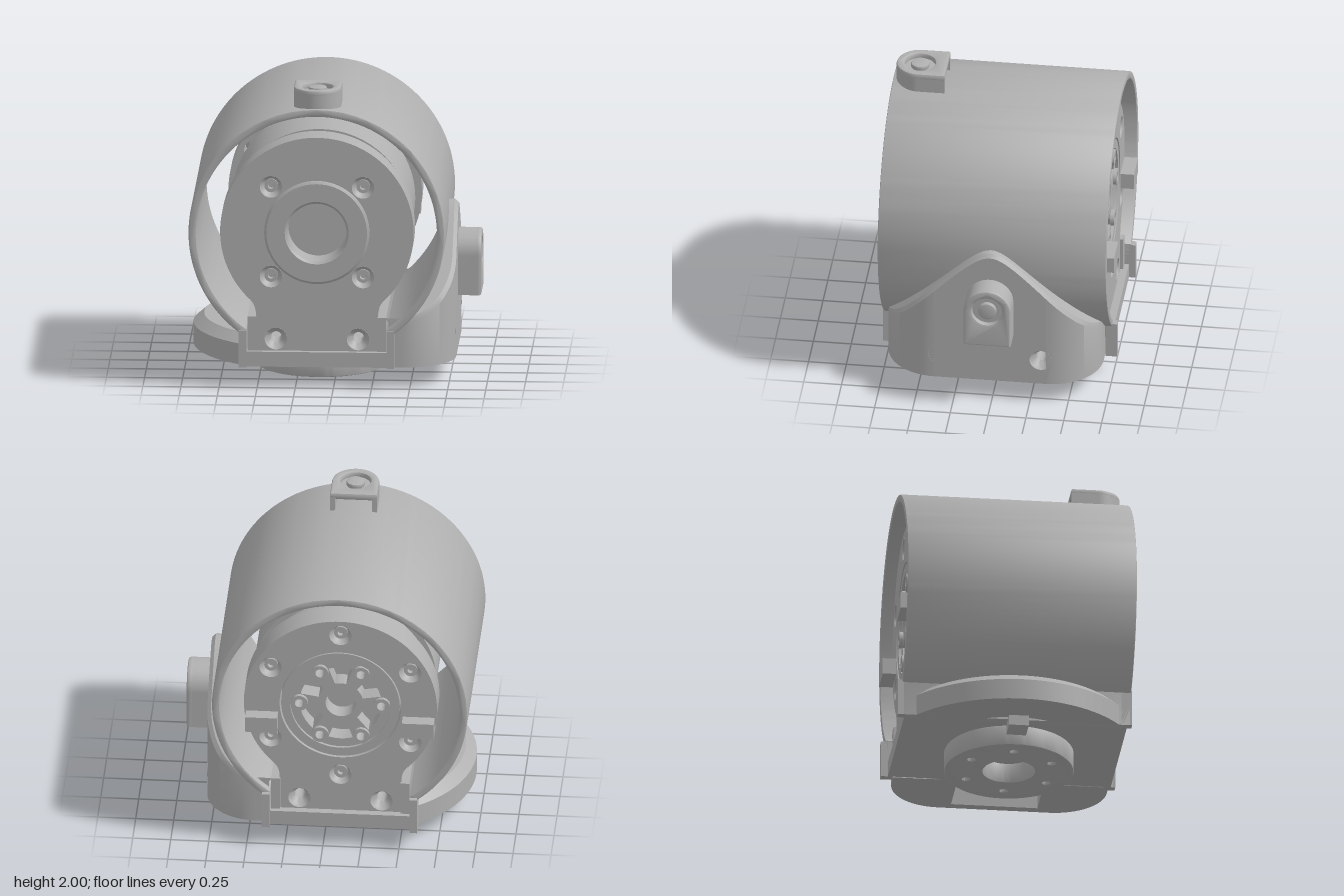
import * as THREE from 'three';
import { toCreasedNormals } from 'three/addons/utils/BufferGeometryUtils.js';

const CX = -0.11, CY = 1.04, CZ = 0.015;
const grey = new THREE.MeshStandardMaterial({ color: 0xb0b0b0, side: THREE.DoubleSide });
grey.name = 'plain grey';

function add(parent, name, geo, x = 0, y = 0, z = 0) {
  const m = new THREE.Mesh(geo, grey);
  m.name = name;
  m.position.set(x, y, z);
  parent.add(m);
  return m;
}
const box = (p, name, x0, x1, y0, y1, z0, z1) =>
  add(p, name, new THREE.BoxGeometry(x1 - x0, y1 - y0, z1 - z0), (x0 + x1) / 2, (y0 + y1) / 2, (z0 + z1) / 2);

// Extrusion along z with an optional small chamfer, sharp edges kept
function extrude(shape, depth, bevel = 0) {
  const geo = new THREE.ExtrudeGeometry(shape, {
    depth: depth - 2 * bevel, curveSegments: 48, bevelEnabled: bevel > 0,
    bevelSize: bevel, bevelThickness: bevel, bevelOffset: -bevel, bevelSegments: 2,
  });
  geo.translate(0, 0, bevel);
  return toCreasedNormals(geo, 0.5);
}
const disc = (x, y, r) => new THREE.Path().absarc(x, y, r, 0, Math.PI * 2, false);
const circle = (r) => new THREE.Shape().absarc(0, 0, r, 0, Math.PI * 2, false);
const ring = (x, y, r, n, start = 0) => Array.from({ length: n }, (_, i) => {
  const a = start + (i * Math.PI * 2) / n;
  return [x + r * Math.cos(a), y + r * Math.sin(a)];
});
const lathe = (pts, n = 48, start = 0, len = Math.PI * 2) =>
  toCreasedNormals(new THREE.LatheGeometry(pts.map((p) => new THREE.Vector2(...p)), n, start, len), 0.5);

// Disc with a neck running down to the floor
function neckPlate() {
  const a = Math.atan2(0.448, 0.45), s = new THREE.Shape();
  s.moveTo(CX - 0.4, 0.14).lineTo(CX + 0.4, 0.14).lineTo(CX + 0.4, 0.48);
  s.quadraticCurveTo(CX + 0.4, 0.55, CX + 0.45, CY - 0.448);
  s.absarc(CX, CY, 0.635, -a, Math.PI + a, false);
  s.quadraticCurveTo(CX - 0.4, 0.55, CX - 0.4, 0.48);
  return s;
}

// Countersunk screw seat, facing +y before rotation
const seat = (through) => lathe(through
  ? [[0.073, 0], [0.07, -0.02], [0.036, -0.06], [0.036, -0.2]]
  : [[0.073, 0], [0.07, -0.02], [0.045, -0.05], [0.045, -0.035], [0.022, -0.035], [0.018, -0.06], [0, -0.06]], 24);

// Hollow clip: U-shaped wall, open at the straight end, with a round button
function clip(name, length, height) {
  const g = new THREE.Group(), r = 0.155, c = length - r, t = 0.035;
  g.name = name;
  const wall = new THREE.Shape();
  wall.moveTo(r, 0).lineTo(r, c).absarc(0, c, r, 0, Math.PI, false);
  wall.lineTo(-r, 0).lineTo(t - r, 0).lineTo(t - r, c);
  wall.absarc(0, c, r - t, Math.PI, 0, true).lineTo(r - t, 0);
  add(g, 'clipWall', extrude(wall, height - 0.03));
  const cap = new THREE.Shape();
  cap.moveTo(-r, 0).lineTo(r, 0).lineTo(r, c).absarc(0, c, r, 0, Math.PI, false);
  cap.holes.push(disc(0, c, 0.1));
  add(g, 'clipCap', extrude(cap, 0.05, 0.015), 0, 0, height - 0.05);
  add(g, 'clipRecess', extrude(circle(0.11), 0.01), 0, c, height - 0.045);
  add(g, 'clipButton', extrude(circle(0.06), 0.035, 0.008), 0, c, height - 0.038);
  return g;
}

// Height of the bracket's arched edge at distance d from its middle
const archTop = (d) => 1.24 - Math.hypot(1.07 * d, 0.13);

function bracket() {
  const g = new THREE.Group(), FLAT = 0.37, R = 0.34, X = 0.79, E = 0.025;
  g.name = 'sideBracket';
  // Footprint outline from back to front: end, corner, flat, corner, end
  const half = [[0.36, FLAT + R]];
  for (let i = 0; i <= 16; i++) {
    const a = (1 - i / 16) * Math.PI / 2;
    half.push([X - R + R * Math.cos(a), FLAT + R * Math.sin(a)]);
  }
  const flat = Array.from({ length: 31 }, (_, i) => [X, FLAT * (i / 15 - 1)]);
  const path = [...half.map(([x, d]) => [x, -d]), ...flat.slice(1, -1), ...half.reverse()];
  // Wall, rounded edge and top surface running in to the shell
  const pos = [], index = [], n = 4;
  path.forEach(([x, d], i) => {
    const top = archTop(Math.abs(d)), z = CZ + d;
    const inner = Math.min(x - E, CX + Math.sqrt(0.7056 - (top - CY) ** 2) - 0.02);
    pos.push(x, 0.14, z, x, top - E, z, x - E, top, z, inner, top, z);
    if (i === 0) return;
    for (let j = 0; j < n - 1; j++) {
      if (j === 0 && Math.abs(x - X) < 1e-6 && Math.abs(path[i - 1][0] - X) < 1e-6) continue;
      const a = (i - 1) * n + j, b = i * n + j;
      index.push(a, a + 1, b, b, a + 1, b + 1);
    }
  });
  const geo = new THREE.BufferGeometry();
  geo.setAttribute('position', new THREE.Float32BufferAttribute(pos, 3));
  geo.setIndex(index);
  add(g, 'bracketWall', toCreasedNormals(geo, 0.5));
  // Flat outer face with two screw holes
  const face = new THREE.Shape();
  face.moveTo(FLAT, 0.14);
  flat.slice().reverse().forEach(([, d]) => face.lineTo(d, archTop(Math.abs(d)) - E));
  face.lineTo(-FLAT, 0.14);
  for (const d of [-0.335, 0.335]) {
    const s = Math.sign(d);
    face.holes.push(disc(-d, 0.32, 0.073 * (s * s)));
    add(g, 'bracketScrewSeat', seat(true), X, 0.32, CZ + d).rotation.z = -Math.PI / 2;
  }
  add(g, 'bracketFace', new THREE.ShapeGeometry(face, 32), X, 0, CZ).rotation.y = Math.PI / 2;
  // Underside with a square pocket
  const under = new THREE.Shape(path.map(([x, d]) => new THREE.Vector2(x, CZ + d)));
  under.holes.push(new THREE.Path([[0.43, -0.27], [0.73, -0.27], [0.73, 0.3], [0.43, 0.3]].map((p) => new THREE.Vector2(...p))));
  add(g, 'bracketUnderside', new THREE.ShapeGeometry(under), 0, 0.14, 0).rotation.x = Math.PI / 2;
  const pocket = new THREE.BoxGeometry(0.3, 0.3, 0.57);
  pocket.setIndex(Array.from(pocket.index.array).filter((_, i) => i < 18 || i >= 24));
  add(g, 'bracketPocket', pocket, 0.58, 0.29, 0.015);
  return g;
}

export function createModel() {
  const model = new THREE.Group();
  model.name = 'motorHousing';

  // Round shell with two straight legs
  const ao = Math.acos(0.51 / 0.84), ai = Math.acos(0.46 / 0.79), shell = new THREE.Shape();
  shell.moveTo(CX + 0.51, 0.14).absarc(CX, CY, 0.84, -ao, Math.PI + ao, false);
  shell.lineTo(CX - 0.51, 0.14).lineTo(CX - 0.46, 0.14);
  shell.absarc(CX, CY, 0.79, Math.PI + ai, -ai, true).lineTo(CX + 0.46, 0.14);
  add(model, 'shell', extrude(shell, 1.51, 0.01), 0, 0, -0.745);
  for (const s of [-1, 1]) {
    const lx = CX + s * 0.485, rx = CX + s * 0.425;
    box(model, 'legEndBack', lx - 0.025, lx + 0.025, 0.14, 0.39, -0.775, -0.7);
    box(model, 'legEndFront', lx - 0.025, lx + 0.025, 0.14, 0.39, 0.7, 0.77);
    box(model, 'sideRail', rx - 0.03, rx + 0.03, 0.14, 0.47, -0.7, 0.71);
    const ux = CX + s * 0.515;
    box(model, 'backLug', ux - 0.105, ux + 0.105, 0.86, 0.97, -0.77, -0.62);
  }

  // Motor body between the plates
  add(model, 'motorBody', lathe([[0, -0.5], [0.56, -0.5], [0.56, -0.3], [0.6, -0.3], [0.6, 0.3],
    [0.56, 0.3], [0.56, 0.52], [0, 0.52]], 64), CX, CY, 0).rotation.x = Math.PI / 2;

  // Front plate with screws and a bored boss
  const lower = [[-0.38, 0.32], [0.16, 0.32]];
  const frontScrews = ring(CX, CY, 0.427, 4, Math.PI / 4), backScrews = ring(CX, CY, 0.53, 6, Math.PI / 6);
  const front = neckPlate(), back = neckPlate();
  [...frontScrews, ...lower].forEach(([x, y]) => front.holes.push(disc(x, y, 0.073)));
  front.holes.push(disc(CX, CY, 0.2));
  add(model, 'frontPlate', extrude(front, 0.2), 0, 0, 0.5);
  add(model, 'frontBoss', lathe([[0.345, 0], [0.345, 0.02], [0.33, 0.03], [0.21, 0.03], [0.195, 0.015], [0.195, -0.16], [0, -0.16]], 64),
    CX, CY, 0.7).rotation.x = Math.PI / 2;

  // Back plate and its spoked hub
  [...backScrews, ...lower].forEach(([x, y]) => back.holes.push(disc(x, y, 0.073)));
  back.holes.push(disc(CX, CY, 0.4));
  add(model, 'backPlate', extrude(back, 0.2), 0, 0, -0.68);
  for (const [list, z, turn] of [[frontScrews, 0.7, 1], [backScrews, -0.68, -1]]) {
    list.forEach(([x, y]) => { add(model, 'screw', seat(false), x, y, z).rotation.x = turn * Math.PI / 2; });
    lower.forEach(([x, y]) => { add(model, 'throughHole', seat(true), x, y, z).rotation.x = turn * Math.PI / 2; });
  }
  const hub = circle(0.39);
  hub.holes.push(disc(0, 0, 0.1));
  ring(0, 0, 0.27, 6).forEach(([x, y], i) => {
    const a = (i + 0.5) * Math.PI / 3;
    const hole = new THREE.Path().absarc(0, 0, 0.27, a - 0.3, a + 0.3, false);
    hole.absarc(0, 0, 0.15, a + 0.25, a - 0.25, true).closePath();
    hub.holes.push(hole, disc(x, y, 0.03));
    const boss = circle(0.055);
    boss.holes.push(disc(0, 0, 0.03));
    add(model, 'hubBoss', extrude(boss, 0.04), CX + x, CY + y, -0.68);
  });
  add(model, 'hub', extrude(hub, 0.12), CX, CY, -0.655);
  const rim = circle(0.39);
  rim.holes.push(disc(0, 0, 0.33));
  add(model, 'hubRim', extrude(rim, 0.03), CX, CY, -0.675);

  // Floor, rounded side base, round foot and key
  box(model, 'floor', CX - 0.46, CX + 0.46, 0.14, 0.24, -0.73, 0.74);
  add(model, 'sideBase', lathe([[0.55, 0.14], [0.84, 0.14], [0.84, 0.28], [0.77, 0.34], [0.55, 0.34]], 48,
    -Math.PI / 2 - 0.95, 1.9), CX, 0, CZ);
  const foot = circle(0.425);
  foot.holes.push(disc(0, 0, 0.17));
  ring(0, 0, 0.305, 6).forEach(([x, y]) => foot.holes.push(disc(x, y, 0.025)));
  add(model, 'foot', extrude(foot, 0.14, 0.01), CX, 0, CZ).rotation.x = -Math.PI / 2;
  box(model, 'footKey', -0.69, -0.5, 0.07, 0.145, -0.05, 0.08);

  // Side bracket and the two clips
  model.add(bracket());
  const topClip = clip('topClip', 0.335, 0.16), sideClip = clip('sideClip', 0.42, 0.165);
  const V = (x, y, z) => new THREE.Vector3(x, y, z);
  topClip.quaternion.setFromRotationMatrix(new THREE.Matrix4().makeBasis(V(-1, 0, 0), V(0, 0, 1), V(0, 1, 0)));
  topClip.position.set(CX, 1.84, 0.41);
  sideClip.rotation.y = Math.PI / 2;
  sideClip.position.set(0.78, 0.5, CZ);
  model.add(topClip, sideClip);
  return model;
}
